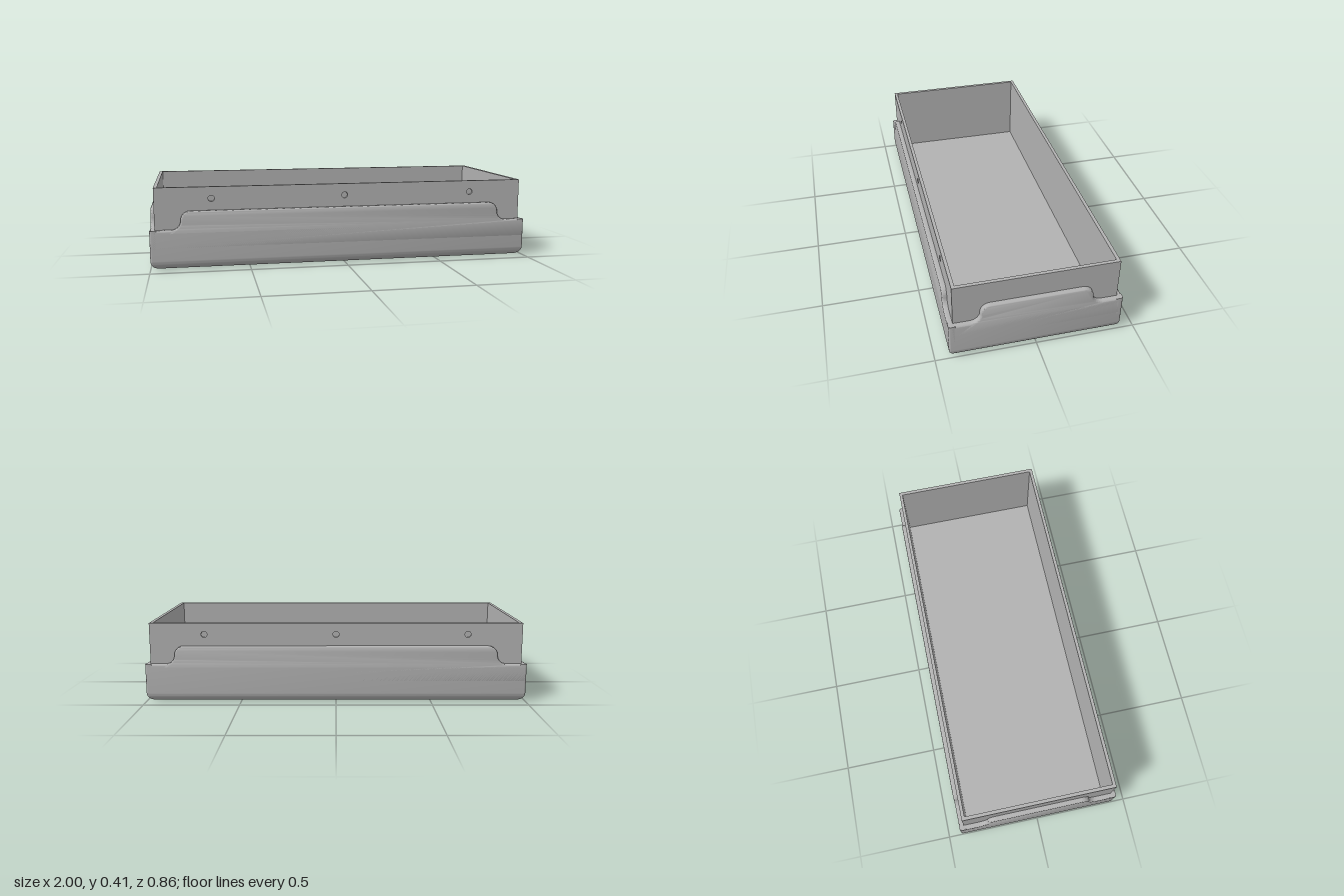
import * as THREE from 'three';
import { toCreasedNormals } from 'three/addons/utils/BufferGeometryUtils.js';

const grey = new THREE.MeshStandardMaterial({ color: 0xb2b2b2 });
grey.name = 'plain grey';

const HX = 1, HZ = 0.43;          // outer skirt half sizes
const BX = 0.975, BZ = 0.405;     // inner box half sizes
const IX = 0.957, IZ = 0.388;     // cavity half sizes
const LEDGE = 0.2, RISE = 0.295, TOP = 0.415, FLOOR = 0.025;
const EDGE = 0.01;                // small edge rounding

function add(parent, name, geometry, x = 0, y = 0, z = 0) {
  const mesh = new THREE.Mesh(geometry, grey);
  mesh.name = name;
  mesh.position.set(x, y, z);
  parent.add(mesh);
  return mesh;
}

// Rounded rectangle outline, as [x, z] points
function outline(hx, hz, r, steps = 4) {
  const pts = [];
  for (let c = 0; c < 4; c++) {
    const sx = c === 0 || c === 3 ? 1 : -1, sz = c < 2 ? 1 : -1;
    for (let i = 0; i <= steps; i++) {
      const a = (c + i / steps) * Math.PI / 2;
      pts.push([sx * (hx - r) + r * Math.cos(a), sz * (hz - r) + r * Math.sin(a)]);
    }
  }
  return pts;
}

// Base shell: flat bottom, rounded lower edge, straight sides
function baseGeometry() {
  const R = 0.045, steps = 10, pos = [], idx = [];
  const rings = [];
  for (let i = 0; i <= steps; i++) {
    const a = i / steps * Math.PI / 2;
    rings.push([R * (1 - Math.sin(a)), R * (1 - Math.cos(a))]);
  }
  rings.push([0, LEDGE - 0.015]);
  let n = 0;
  for (const [inset, y] of rings) {
    const pts = outline(HX - inset, HZ - inset, EDGE);
    n = pts.length;
    for (const [x, z] of pts) pos.push(x, y, z);
  }
  for (let k = 0; k < rings.length - 1; k++) {
    for (let i = 0; i < n; i++) {
      const a = k * n + i, b = k * n + (i + 1) % n;
      idx.push(a, a + n, b, b, a + n, b + n);
    }
  }
  // Bottom cap
  const centre = pos.length / 3;
  pos.push(0, 0, 0);
  for (let i = 0; i < n; i++) idx.push(centre, i, (i + 1) % n);
  const g = new THREE.BufferGeometry();
  g.setAttribute('position', new THREE.Float32BufferAttribute(pos, 3));
  g.setIndex(idx);
  return toCreasedNormals(g, 0.6);
}

// Skirt panel: low ledge at both ends, S-curves up to a raised middle
function skirtGeometry(half, foot) {
  const r = (RISE - LEDGE) / 2, low = 0.1;
  const s = new THREE.Shape();
  s.moveTo(-half, low);
  s.lineTo(half, low);
  s.lineTo(half, LEDGE);
  s.lineTo(foot, LEDGE);
  s.absarc(foot, LEDGE + r, r, -Math.PI / 2, -Math.PI, true);
  s.absarc(foot - 2 * r, LEDGE + r, r, 0, Math.PI / 2, false);
  s.lineTo(-(foot - 2 * r), RISE);
  s.absarc(-(foot - 2 * r), LEDGE + r, r, Math.PI / 2, Math.PI, false);
  s.absarc(-foot, LEDGE + r, r, 0, -Math.PI / 2, true);
  s.lineTo(-half, LEDGE);
  s.closePath();
  const depth = HX - BX + 0.004;
  const g = new THREE.ExtrudeGeometry(s, {
    depth: depth - EDGE, curveSegments: 12, bevelEnabled: true,
    bevelThickness: EDGE, bevelSize: EDGE, bevelOffset: -EDGE, bevelSegments: 4,
  });
  // Outer face sits at z = 0
  g.translate(0, 0, -depth);
  return toCreasedNormals(g, 0.6);
}

// Long wall face with three shallow round holes
function holedPlate(depth) {
  const s = new THREE.Shape();
  s.moveTo(-BX, 0.1);
  s.lineTo(BX, 0.1);
  s.lineTo(BX, TOP);
  s.lineTo(-BX, TOP);
  s.closePath();
  for (const x of [-0.69, 0, 0.69]) {
    const hole = new THREE.Path();
    hole.absarc(x, 0.355, 0.016, 0, Math.PI * 2, true);
    s.holes.push(hole);
  }
  const g = new THREE.ExtrudeGeometry(s, { depth, bevelEnabled: false, curveSegments: 24 });
  return toCreasedNormals(g, 0.6);
}

export function createModel() {
  const model = new THREE.Group();
  model.name = 'tray';

  add(model, 'base', baseGeometry());
  add(model, 'floor', new THREE.BoxGeometry(2 * BX, FLOOR - 0.01, 2 * BZ), 0, (FLOOR + 0.01) / 2, 0);

  // Skirt panels on all four sides
  const longSkirt = skirtGeometry(HX, 0.893), shortSkirt = skirtGeometry(HZ, 0.323);
  add(model, 'frontSkirt', longSkirt, 0, 0, HZ);
  add(model, 'backSkirt', longSkirt, 0, 0, -HZ).rotation.y = Math.PI;
  add(model, 'leftSkirt', shortSkirt, HX, 0, 0).rotation.y = Math.PI / 2;
  add(model, 'rightSkirt', shortSkirt, -HX, 0, 0).rotation.y = -Math.PI / 2;

  // Inner box walls
  const plateDepth = 0.01, lining = BZ - IZ - plateDepth, wallH = TOP - 0.02;
  const plate = holedPlate(plateDepth);
  for (const [name, side] of [['front', 1], ['back', -1]]) {
    const wall = new THREE.Group();
    wall.name = name + 'Wall';
    wall.rotation.y = side > 0 ? 0 : Math.PI;
    add(wall, 'holedFace', plate, 0, 0, BZ - plateDepth);
    add(wall, 'lining', new THREE.BoxGeometry(2 * BX, wallH, lining), 0, 0.02 + wallH / 2, IZ + lining / 2);
    model.add(wall);
  }
  for (const [name, side] of [['left', 1], ['right', -1]]) {
    add(model, name + 'Wall', new THREE.BoxGeometry(BX - IX, wallH, 2 * IZ),
      side * (BX + IX) / 2, 0.02 + wallH / 2, 0);
    // Wall ends beside the long walls
    for (const z of [1, -1]) {
      add(model, name + 'WallEnd', new THREE.BoxGeometry(BX - IX, wallH, lining),
        side * (BX + IX) / 2, 0.02 + wallH / 2, z * (IZ + lining / 2));
    }
  }
  return model;
}
